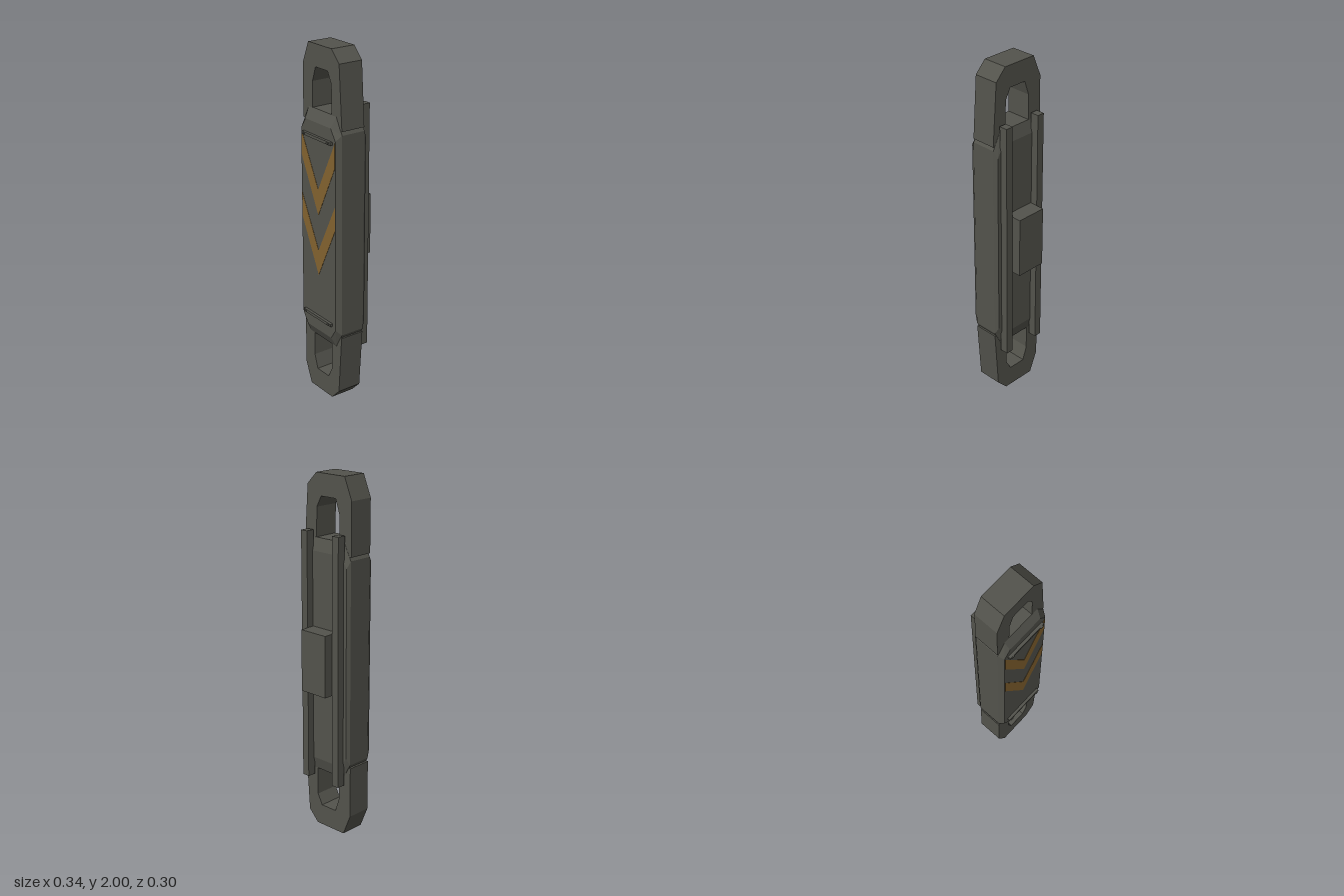
import * as THREE from 'three';

const grey = new THREE.MeshStandardMaterial({ color: 0x53534c });
grey.name = 'dark grey metal';
const amber = new THREE.MeshStandardMaterial({ color: 0x84632f });
amber.name = 'worn amber paint';

// Faceted solid lofted through counter-clockwise rings, back to front
function loft(rings) {
  const out = [];
  const tri = (...pts) => pts.forEach((p) => out.push(...p));
  const n = rings[0].length;
  for (let r = 0; r < rings.length - 1; r++) {
    const a = rings[r], b = rings[r + 1];
    for (let i = 0; i < n; i++) {
      const j = (i + 1) % n;
      tri(a[i], a[j], b[j]);
      tri(a[i], b[j], b[i]);
    }
  }
  const back = rings[0], front = rings[rings.length - 1];
  for (let i = 1; i < n - 1; i++) {
    tri(back[0], back[i + 1], back[i]);
    tri(front[0], front[i], front[i + 1]);
  }
  const geo = new THREE.BufferGeometry();
  geo.setAttribute('position', new THREE.Float32BufferAttribute(out, 3));
  geo.computeVertexNormals();
  return geo;
}

// Long octagon: half width, half height and corner cuts, centred on y = 1
function octagon(w, h, cx, cy, z) {
  return [
    [w, -h + cy], [w, h - cy], [w - cx, h], [-w + cx, h],
    [-w, h - cy], [-w, -h + cy], [-w + cx, -h], [w - cx, -h],
  ].map(([x, y]) => [x, y + 1, z]);
}

function extrude(points, z0, z1) {
  const shape = new THREE.Shape(points.map(([x, y]) => new THREE.Vector2(x, y)));
  const geo = new THREE.ExtrudeGeometry(shape, { depth: z1 - z0, bevelEnabled: false });
  return geo.translate(0, 0, z0);
}

export function createModel() {
  const model = new THREE.Group();
  model.name = 'handledCase';

  const add = (name, geo, mat = grey) => {
    const mesh = new THREE.Mesh(geo, mat);
    mesh.name = name;
    model.add(mesh);
    return mesh;
  };
  const box = (name, x0, x1, y0, y1, z0, z1) =>
    add(name, new THREE.BoxGeometry(x1 - x0, y1 - y0, z1 - z0))
      .position.set((x0 + x1) / 2, (y0 + y1) / 2, (z0 + z1) / 2);

  // Bevelled body
  add('body', loft([
    octagon(0.155, 0.59, 0.04, 0.06, -0.062),
    octagon(0.168, 0.66, 0.048, 0.09, -0.043),
    octagon(0.168, 0.66, 0.048, 0.09, 0.1),
    octagon(0.15, 0.6, 0.04, 0.06, 0.13),
  ]));

  // Slightly lopsided loop handles, mirrored at top and bottom
  const handle = [
    [-0.17, 1.59], [-0.17, 1.88], [-0.12, 2], [0.08, 2], [0.143, 1.935], [0.167, 1.59],
    [0.08, 1.59], [0.077, 1.82], [0.045, 1.88], [-0.058, 1.88], [-0.085, 1.8], [-0.085, 1.59],
  ];
  add('topHandle', extrude(handle, -0.042, 0.101));
  add('bottomHandle', extrude(handle.map(([x, y]) => [x, 2 - y]), -0.042, 0.101));

  // Back rails and the block between them
  box('rightRail', -0.135, -0.092, 0.305, 1.7, -0.103, -0.055);
  box('leftRail', 0.09, 0.133, 0.305, 1.7, -0.103, -0.055);
  box('backBlock', -0.088, 0.087, 0.83, 1.175, -0.153, -0.05);

  // Front bars with small end studs
  for (const y of [0.485, 1.523]) {
    box('frontBar', -0.125, 0.125, y - 0.008, y + 0.008, 0.128, 0.146);
    for (const x of [-0.107, 0.105]) {
      box('barStud', x - 0.009, x + 0.009, y - 0.004, y + 0.004, 0.145, 0.151);
    }
  }

  // Painted chevrons
  for (const y of [0.74, 1.09]) {
    add('chevron', extrude([
      [0, y], [0.147, y + 0.305], [0.147, y + 0.44],
      [0, y + 0.145], [-0.147, y + 0.44], [-0.147, y + 0.305],
    ], 0.129, 0.1315), amber);
  }
  return model;
}
